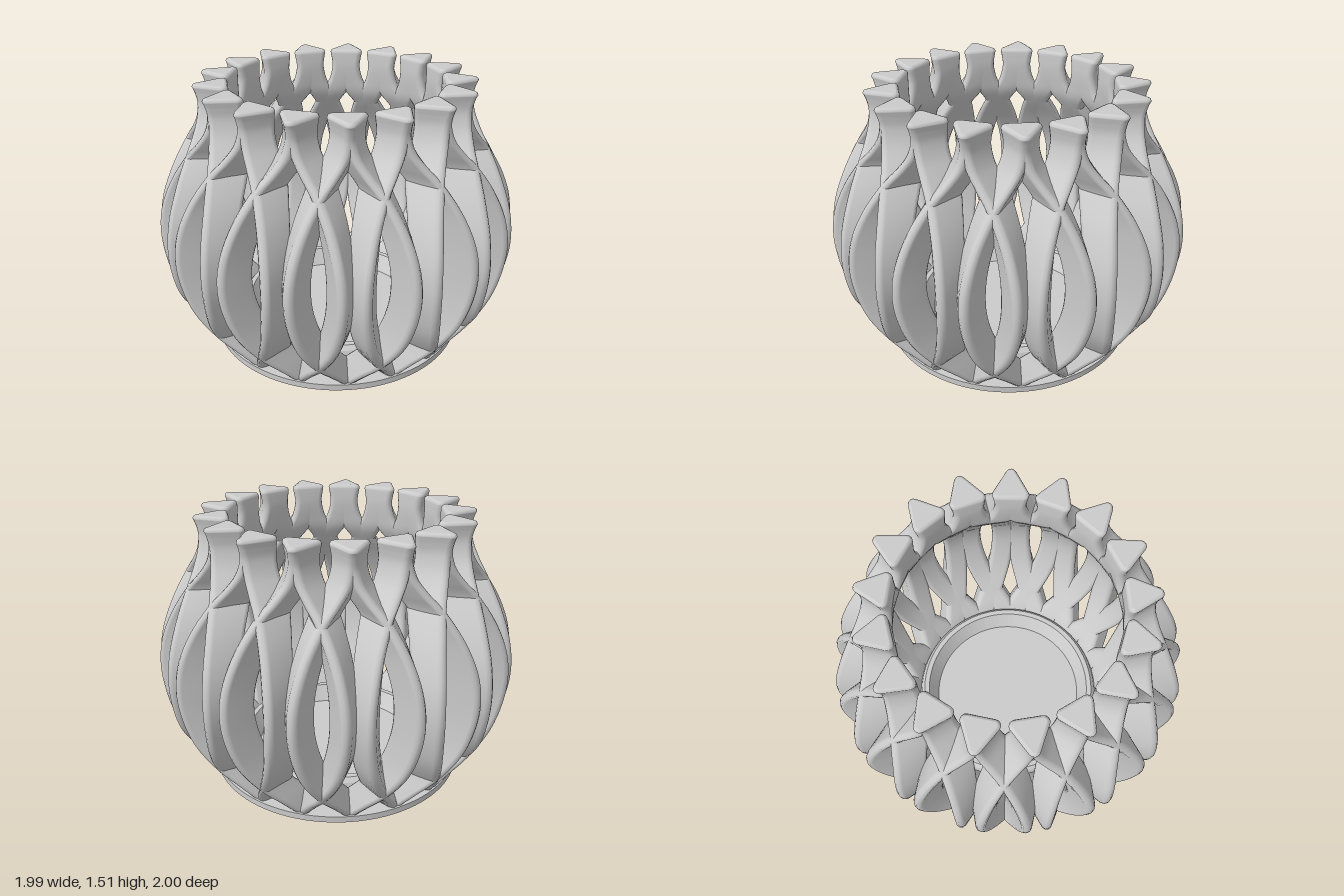
import * as THREE from 'three';

const COUNT = 17;                       // posts around the rim
const STEP = (Math.PI * 2) / COUNT;
const DEG = Math.PI / 180;

// Rib stations from bottom to top: height, ridge radius, sideways swing (deg), half width, depth
const STATIONS = [
  [0.02, 0.715, 10.0, 0.075, 0.17],
  [0.12, 0.785, 5.0, 0.078, 0.19],
  [0.23, 0.865, 0.0, 0.076, 0.20],
  [0.38, 0.945, -4.4, 0.073, 0.20],
  [0.54, 0.988, -6.6, 0.071, 0.19],
  [0.70, 1.0, -7.3, 0.071, 0.18],
  [0.86, 0.975, -6.6, 0.071, 0.18],
  [1.02, 0.912, -4.2, 0.073, 0.19],
  [1.16, 0.835, 0.0, 0.076, 0.20],
  [1.24, 0.785, 4.2, 0.078, 0.19],
  [1.32, 0.75, 8.2, 0.078, 0.17],
  [1.40, 0.737, 10.2, 0.08, 0.165],
  [1.46, 0.748, STEP / DEG / 2, 0.09, 0.175],
  [1.49, 0.76, STEP / DEG / 2, 0.096, 0.185],
];
const curve = (a, b) => new THREE.SplineCurve(STATIONS.map((s) => new THREE.Vector2(s[a], s[b])));
const pathCurve = curve(0, 1), swingCurve = curve(2, 3), depthCurve = curve(0, 4);

// Rounded triangle, ridge outward, as [radial, tangential] points
function section(ridge, halfWidth, depth, radius, inset) {
  const w = halfWidth - radius, h = depth - 2 * radius;
  const a = Math.atan2(h, w), x0 = ridge - radius, x1 = x0 - h;
  const corners = [[x0, 0, -a, a], [x1, w, a, Math.PI], [x1, -w, Math.PI, Math.PI * 2 - a]];
  const pts = [];
  for (const [cx, ct, from, to] of corners) {
    for (let k = 0; k <= 4; k++) {
      const g = from + ((to - from) * k) / 4;
      pts.push([cx + (radius - inset) * Math.cos(g), ct + (radius - inset) * Math.sin(g)]);
    }
  }
  return pts;
}

// One swinging rib lofted through its sections; side = 1 or -1 mirrors the swing
function ribGeometry(side) {
  const ROWS = 56, pos = [], idx = [];
  let n = 0;
  const addRow = (t, lift, inset) => {
    const p = pathCurve.getPoint(t), s = swingCurve.getPoint(t);
    const pts = section(p.y, s.y, depthCurve.getPoint(t).y, 0.03, inset);
    const ang = side * s.x * DEG, c = Math.cos(ang), q = Math.sin(ang);
    n = pts.length;
    for (const [u, v] of pts) pos.push(u * c - v * q, p.x + lift, -u * q - v * c);
  };
  for (let i = 0; i <= ROWS; i++) addRow(i / ROWS, 0, 0);
  addRow(1, 0.011, 0.005);              // softened top edge
  addRow(1, 0.016, 0.016);
  const rows = ROWS + 3;
  for (let i = 0; i < rows - 1; i++) {
    for (let j = 0; j < n; j++) {
      const a = i * n + j, b = i * n + ((j + 1) % n);
      idx.push(a, b, b + n, a, b + n, a + n);
    }
  }
  // flat top cap with its own vertices
  const last = (rows - 1) * n, cap = rows * n;
  for (let j = 0; j < n * 3; j++) pos.push(pos[last * 3 + j]);
  for (let j = 1; j < n - 1; j++) idx.push(cap, cap + j, cap + j + 1);
  const geo = new THREE.BufferGeometry();
  geo.setAttribute('position', new THREE.Float32BufferAttribute(pos, 3));
  geo.setIndex(idx);
  geo.computeVertexNormals();
  return geo;
}

export function createModel() {
  const model = new THREE.Group();
  model.name = 'candleHolder';
  const grey = new THREE.MeshStandardMaterial({ color: 0xcccccc });
  const add = (parent, name, geo) => {
    const mesh = new THREE.Mesh(geo, grey);
    mesh.name = name;
    parent.add(mesh);
    return mesh;
  };

  // Base plate
  const base = add(model, 'basePlate', new THREE.CylinderGeometry(0.735, 0.735, 0.036, 96));
  base.position.y = 0.018;

  // Candle cup: outer wall, flat lip, sloping inner wall and floor
  const profile = [[0.6, 0.03], [0.57, 0.13], [0.55, 0.155], [0.52, 0.155], [0.465, 0.06], [0, 0.06]];
  const cupGeo = new THREE.LatheGeometry(profile.map(([r, y]) => new THREE.Vector2(r, y)), 96).toNonIndexed();
  // crease the profile corners: normals follow each band's own slope
  const p = cupGeo.attributes.position, nor = cupGeo.attributes.normal;
  const a = new THREE.Vector3(), b = new THREE.Vector3(), c = new THREE.Vector3();
  for (let i = 0; i < p.count; i += 3) {
    a.fromBufferAttribute(p, i);
    b.fromBufferAttribute(p, i + 1).sub(a);
    c.fromBufferAttribute(p, i + 2).sub(a);
    b.cross(c).normalize();
    for (let k = 0; k < 3; k++) nor.setXYZ(i + k, b.x, b.y, b.z);
  }
  add(model, 'candleCup', cupGeo);

  // Two mirrored families of ribs, joining into posts at the rim
  for (const side of [1, -1]) {
    const family = new THREE.Group();
    family.name = side > 0 ? 'leftSwingRibs' : 'rightSwingRibs';
    const geo = ribGeometry(side);
    for (let i = 0; i < COUNT; i++) add(family, 'rib', geo).rotation.y = (i + 0.5) * STEP;
    model.add(family);
  }
  return model;
}
